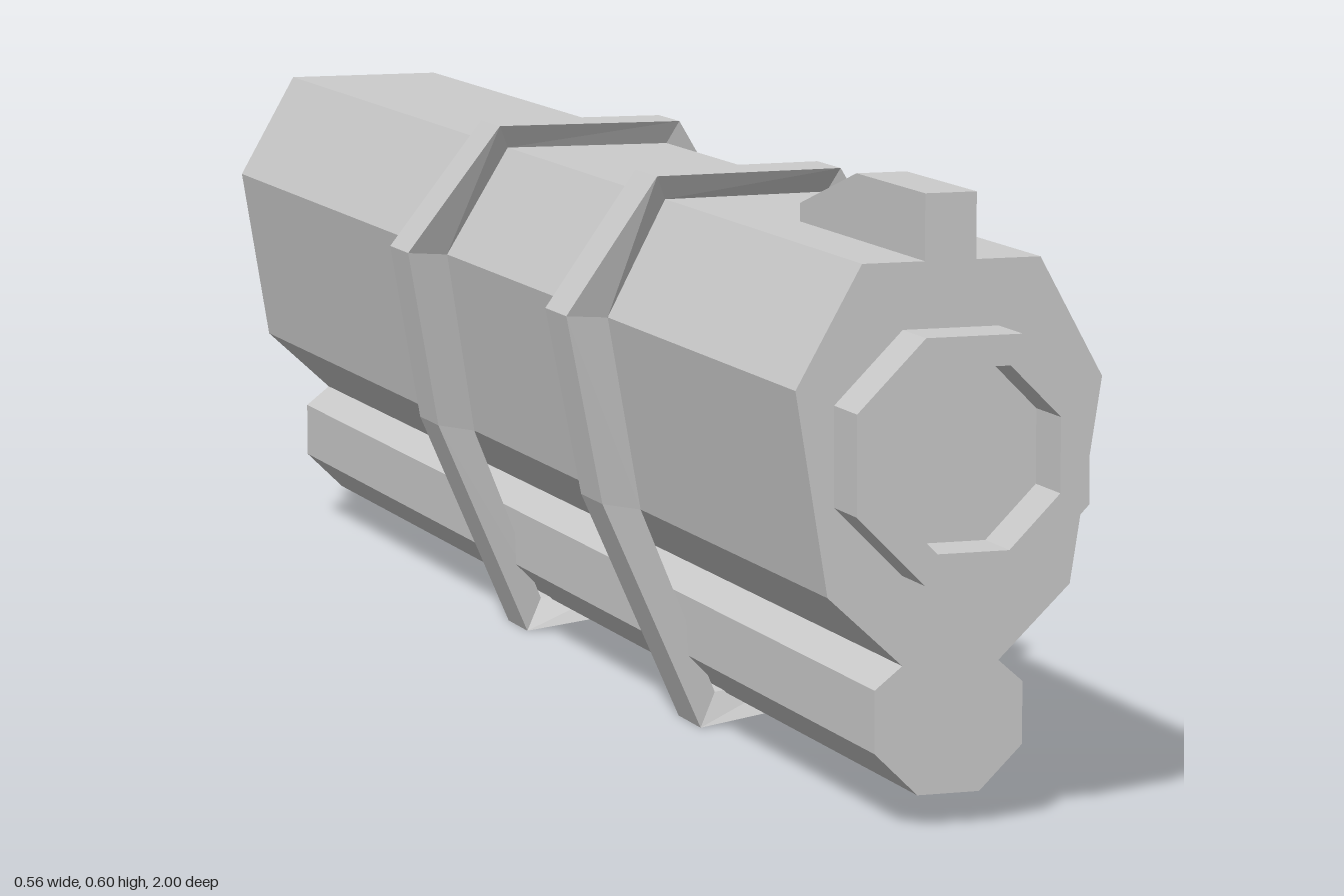
import * as THREE from 'three';

const material = new THREE.MeshStandardMaterial({ color: 0xcccccc, flatShading: true });

function addMesh(parent, name, geometry) {
  const mesh = new THREE.Mesh(geometry, material);
  mesh.name = name;
  parent.add(mesh);
  return mesh;
}

const toVectors = (points) => points.map(([x, y]) => new THREE.Vector2(x, y));

// Prism running along z from zBack to zFront
function prism(points, zBack, zFront, hole) {
  const shape = new THREE.Shape(toVectors(points));
  if (hole) shape.holes.push(new THREE.Path(toVectors(hole)));
  const geometry = new THREE.ExtrudeGeometry(shape, { depth: zFront - zBack, bevelEnabled: false });
  return geometry.translate(0, 0, zBack);
}

// Flat-topped octagon with the given half width
function octagon(cx, cy, halfWidth) {
  const r = halfWidth / Math.cos(Math.PI / 8);
  return Array.from({ length: 8 }, (_, i) => {
    const a = Math.PI / 8 + (i * Math.PI) / 4;
    return [cx + r * Math.cos(a), cy + r * Math.sin(a)];
  });
}

// Lower tube section; an opening [lo, hi] cuts a channel into its left side
function tubeOutline(lo, hi) {
  const lipX = (y) => {
    if (y < 0.075) return -0.005 - (0.075 - y) * 1.02;
    if (y > 0.135) return -0.005 - (y - 0.135) * 1.14;
    return -0.005;
  };
  const points = [[-0.125, 0.157], [-0.153, 0.135], [-0.153, 0.075], [-0.11, 0.033], [-0.048, 0.033]];
  if (lo === undefined) {
    points.push([-0.005, 0.075], [-0.005, 0.135]);
  } else {
    if (lo > 0.075) points.push([-0.005, 0.075]);
    points.push([lipX(lo), lo], [-0.1, lo], [-0.1, hi], [lipX(hi), hi]);
    if (hi < 0.135) points.push([-0.005, 0.135]);
  }
  points.push([-0.03, 0.157]);
  return points;
}

// Strap loop: wide outer face, sides sloping in to a narrower inner face
const strapOuter = [[-0.18, 0.56], [0.02, 0.56], [0.1, 0.425], [0.093, 0.24],
  [-0.008, 0.02], [-0.143, 0.002], [-0.245, 0.235], [-0.28, 0.425]];
const strapInner = [[-0.167, 0.535], [0.01, 0.535], [0.073, 0.42], [0.042, 0.225],
  [-0.035, 0.045], [-0.123, 0.035], [-0.2, 0.225], [-0.232, 0.42]];

function strapGeometry(z, lean) {
  const rings = strapOuter.map(([x, y], i) => {
    const [u, v] = strapInner[i];
    const c = z + lean * (0.05 * (0.56 - y) - 0.06 * (x + 0.02));
    return [[x, y, c + 0.034], [x, y, c - 0.034], [u, v, c - 0.02], [u, v, c + 0.02]];
  });
  const positions = [];
  rings.forEach((ring, i) => {
    const next = rings[(i + 1) % rings.length];
    for (let k = 0; k < 4; k++) {
      const m = (k + 1) % 4;
      positions.push(...ring[k], ...next[k], ...next[m], ...ring[k], ...next[m], ...ring[m]);
    }
  });
  const geometry = new THREE.BufferGeometry();
  geometry.setAttribute('position', new THREE.Float32BufferAttribute(positions, 3));
  geometry.computeVertexNormals();
  return geometry;
}

// Straight bar between two points in a plane of constant z
function addBar(parent, name, [ax, ay], [bx, by], z, thickness, width) {
  const length = Math.hypot(bx - ax, by - ay);
  const bar = addMesh(parent, name, new THREE.BoxGeometry(length, thickness, width));
  bar.position.set((ax + bx) / 2, (ay + by) / 2, z);
  bar.rotation.z = Math.atan2(by - ay, bx - ax);
}

export function createModel() {
  const model = new THREE.Group();
  model.name = 'strappedLauncherTube';

  // Main faceted body
  addMesh(model, 'body', prism([[-0.125, 0.156], [-0.03, 0.156], [0.042, 0.225], [0.073, 0.42],
    [0.01, 0.535], [-0.167, 0.535], [-0.232, 0.42], [-0.2, 0.225]], -1, 0.94));

  // Muzzle ring
  addMesh(model, 'muzzle', prism(octagon(-0.079, 0.357, 0.115), 0.94, 1, octagon(-0.079, 0.357, 0.086)));

  // Sight fin on top, drawn in the side plane and turned to run along z
  const fin = new THREE.ExtrudeGeometry(new THREE.Shape(toVectors(
    [[0.605, 0.53], [0.94, 0.53], [0.94, 0.598], [0.76, 0.598], [0.605, 0.553]])),
  { depth: 0.051, bevelEnabled: false });
  fin.rotateY(-Math.PI / 2).translate(-0.054, 0, 0);
  addMesh(model, 'sightFin', fin);

  // Lower tube: solid front, side window, then a slot open to the rear
  const lowerTube = new THREE.Group();
  lowerTube.name = 'lowerTube';
  model.add(lowerTube);
  [
    ['tubeFront', -0.432, 0.94],
    ['windowFrontEdge', -0.446, -0.432, 0.062, 0.142],
    ['window', -0.63, -0.446, 0.043, 0.149],
    ['windowRearEdge', -0.643, -0.63, 0.062, 0.142],
    ['rearSlot', -1, -0.643, 0.08, 0.133],
  ].forEach(([name, zBack, zFront, lo, hi]) => {
    addMesh(lowerTube, name, prism(tubeOutline(lo, hi), zBack, zFront));
  });

  // Two straps with buckles and loose tails, leaning in opposite directions
  [
    { name: 'frontStrap', z: 0.352, lean: 1, buckleZ: 0.358,
      buckle: [[0.077, 0.166], [0.092, 0.246]], tail: [[0.086, 0.215], [0.142, 0.035]] },
    { name: 'rearStrap', z: -0.152, lean: -1, buckleZ: -0.148,
      buckle: [[0.098, 0.461], [0.131, 0.389]], tail: [[0.105, 0.425], [0.277, 0.39]] },
  ].forEach(({ name, z, lean, buckleZ, buckle, tail }) => {
    const group = new THREE.Group();
    group.name = name;
    addMesh(group, 'band', strapGeometry(z, lean));
    addBar(group, 'buckle', ...buckle, buckleZ, 0.019, 0.076);
    addBar(group, 'tail', ...tail, buckleZ, 0.025, 0.044);
    model.add(group);
  });

  return model;
}
